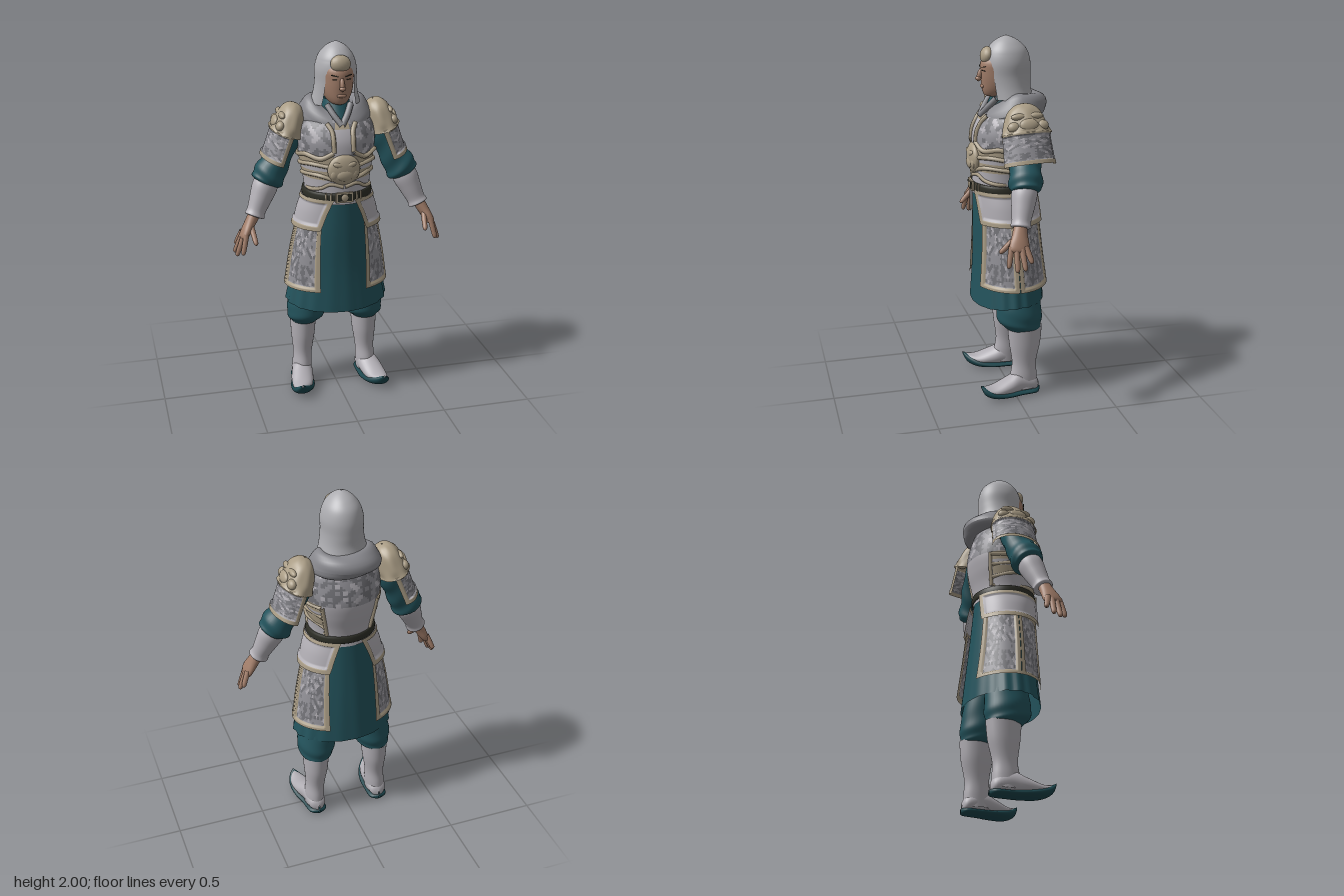
import * as THREE from 'three';

const paint = (name, color) => new THREE.MeshStandardMaterial({ name, color, side: THREE.DoubleSide });
const steel = paint('paleSteel', 0xb1aeb4), plate = paint('greyScale', 0x929197), plateDark = paint('darkScale', 0x737378);
const cloth = paint('tealCloth', 0x23535c), sole = paint('darkTeal', 0x1b454c), tan = paint('tanTrim', 0xaa9d86);
const skin = paint('skin', 0xa17d69), leather = paint('darkLeather', 0x2d2e26), hood = paint('hoodGrey', 0x87878c);
const iron = paint('helmetGrey', 0xacacb0);
const { sin, cos, PI, min, max, sqrt, floor } = Math;
const V = (x, y, z) => new THREE.Vector3(x, y, z);
const clamp = THREE.MathUtils.clamp;

// Smooth interpolation along a short list of cross-sections
function rowAt(rows, t) {
  const f = t * (rows.length - 1), i = min(floor(f), rows.length - 2), k = f - i;
  const p = n => rows[clamp(i + n, 0, rows.length - 1)];
  return rows[0].map((_, c) => {
    const a = p(-1)[c], b = p(0)[c], d = p(1)[c], e = p(2)[c];
    return b + 0.5 * k * (d - a + k * (2 * a - 5 * b + 4 * d - e + k * (3 * (b - d) + e - a)));
  });
}

// Grid surface from f(u, v); pick(u, v, i, j) selects a material for each cell
function surface(name, f, nu, nv, mats, closed, pick) {
  mats = [mats].flat();
  const pos = [], cols = closed ? nu : nu + 1, cells = mats.map(() => []);
  for (let j = 0; j <= nv; j++) for (let i = 0; i < cols; i++) pos.push(...f(i / nu, j / nv));
  for (let j = 0; j < nv; j++) for (let i = 0; i < nu; i++) {
    const a = j * cols + i, b = j * cols + (i + 1) % cols, c = a + cols, d = b + cols;
    cells[pick ? pick((i + 0.5) / nu, (j + 0.5) / nv, i, j) : 0].push(a, c, b, b, c, d);
  }
  const g = new THREE.BufferGeometry();
  g.setAttribute('position', new THREE.Float32BufferAttribute(pos, 3));
  g.setIndex(cells.flat());
  let start = 0;
  cells.forEach((c, m) => { g.addGroup(start, c.length, m); start += c.length; });
  g.computeVertexNormals();
  const mesh = new THREE.Mesh(g, mats.length > 1 ? mats : mats[0]);
  mesh.name = name;
  return mesh;
}

// Loft of elliptical rows [x, y, z, rx, rz], listed downwards; angle 0 faces front
function loft(name, rows, mats, { nu = 32, nv = 24, arc, bump, pick, drop = 0 } = {}) {
  return surface(name, (u, v) => {
    const [x, y, z, rx, rz] = rowAt(rows, v), [a0, a1] = arc ? arc(v, y) : [0, 2 * PI];
    const a = a0 + (a1 - a0) * u, o = bump ? bump(a, v, u) : 0;
    return [x + (rx + o) * sin(a), y - drop * v * max(cos(a), 0), z + (rz + o) * cos(a)];
  }, nu, nv, mats, !arc, pick);
}

const noise = (i, j) => { const s = sin(i * 127.1 + j * 311.7) * 43758.5; return s - floor(s); };
// Diagonal mottling of the scale armour
const mottle = (i, j) => { const n = noise(floor((i + j) / 3), floor((i - j) / 3)); return n < 0.45 ? 0 : n < 0.86 ? 1 : 2; };
const SCALES = [plate, plateDark, steel, tan];

// Armour panel with a raised border
function panel(name, rows, arc, bu, bv, plain, nu = 40, nv = 44) {
  const edge = (u, v) => min(u, 1 - u) < bu || min(v, 1 - v) < bv;
  return loft(name, rows, plain ? [steel, tan] : SCALES, {
    nu, nv, arc, bump: (a, v, u) => edge(u, v) ? 0.008 : 0,
    pick: (u, v, i, j) => edge(u, v) ? (plain ? 1 : 3) : plain ? 0 : mottle(i, j)
  });
}

// Turn a part so its downward axis runs from a to b
function between(obj, a, b) {
  obj.position.copy(a);
  obj.quaternion.setFromUnitVectors(V(0, -1, 0), b.clone().sub(a).normalize());
  return obj;
}
function part(name, geo, mat, p, s = [1, 1, 1], r = [0, 0, 0]) {
  const m = new THREE.Mesh(geo, mat);
  m.name = name; m.position.set(...p); m.scale.set(...s); m.rotation.set(...r);
  return m;
}
const ball = (name, mat, p, s, r) => part(name, new THREE.SphereGeometry(1, 20, 14), mat, p, s, r);
const box = (name, mat, p, s, r) => part(name, new THREE.BoxGeometry(1, 1, 1), mat, p, s, r);
const tube = (name, pts, r, mat) => part(name, new THREE.TubeGeometry(new THREE.CatmullRomCurve3(pts), 40, r, 6), mat, [0, 0, 0]);

const TORSO = [[0, 1.64, -.03, .1, .1], [0, 1.58, -.01, .19, .145], [0, 1.5, 0, .213, .178], [0, 1.42, 0, .21, .188],
  [0, 1.34, .005, .198, .182], [0, 1.26, .015, .184, .172], [0, 1.2, .02, .18, .168], [0, 1.15, .02, .195, .172]];
function onTorso(a, y, off = 0.003) {
  let v = 0;
  while (v < 1 && rowAt(TORSO, v)[1] > y) v += 0.005;
  const [, , z, rx, rz] = rowAt(TORSO, min(v, 1));
  return V((rx + off) * sin(a), y, z + (rz + off) * cos(a));
}

function head() {
  const g = new THREE.Group(); g.name = 'head';
  g.add(loft('face', [[0, 1.93, 0, .05, .07], [0, 1.87, .01, .088, .124], [0, 1.81, .017, .089, .124], [0, 1.75, .02, .082, .117],
    [0, 1.705, .028, .064, .102], [0, 1.68, .035, .04, .075], [0, 1.674, .035, .002, .002]], skin));
  const open = y => 0.76 * sqrt(clamp((1.91 - y) / .08, 0, 1));
  g.add(loft('helmet', [[0, 2, 0, .004, .004], [0, 1.985, 0, .038, .042], [0, 1.96, -.002, .068, .078], [0, 1.92, -.004, .096, .11],
    [0, 1.86, -.005, .112, .126], [0, 1.79, -.006, .112, .126], [0, 1.73, -.01, .12, .122], [0, 1.67, -.02, .136, .125]], iron,
    { nu: 48, nv: 40, arc: (v, y) => [open(y), 2 * PI - open(y)] }));
  g.add(ball('foreheadBadge', tan, [0, 1.898, .107], [.055, .046, .034], [-.25, 0, 0]));
  g.add(ball('nose', skin, [0, 1.795, .144], [.013, .038, .016], [-.3, 0, 0]));
  g.add(ball('noseTip', skin, [0, 1.775, .153], [.017, .012, .017]));
  g.add(ball('lips', skin, [0, 1.733, .133], [.026, .01, .009]));
  for (const s of [-1, 1]) {
    g.add(box('eyebrow', leather, [s * .038, 1.84, .133], [.04, .004, .006], [0, s * .4, s * .2]));
    g.add(box('eye', leather, [s * .038, 1.82, .133], [.024, .003, .006], [0, s * .4, 0]));
  }
  // Draped hood round the neck, open at the throat
  g.add(surface('cowl', (u, v) => {
    const a = .3 + (2 * PI - .6) * u, b = 2 * PI * v, back = (1 - cos(a)) / 2;
    const r = .032 + .02 * min(1, 3 * back), w = r * (1 + .1 * sin(3 * b + 2 * a));
    const d = w * cos(b), front = max(cos(a), 0), y = 1.645 - .065 * front ** 1.5;
    return [(.143 + d) * sin(a), y + w * 1.05 * sin(b) - d * (.35 + .5 * front), -.04 + (.128 + .022 * front + d) * cos(a)];
  }, 56, 20, hood));
  g.add(loft('collar', [[0, 1.70, .0, .07, .075], [0, 1.64, .01, .078, .092], [0, 1.56, .01, .08, .13]], cloth));
  for (const s of [-1, 1]) g.add(tube('lapel', [V(s * .065, 1.675, .07), V(s * .036, 1.625, .11), V(0, 1.575, .145)], .017, hood));
  return g;
}

function body() {
  const g = new THREE.Group(); g.name = 'body';
  g.add(loft('cuirass', TORSO, SCALES, { nu: 96, nv: 48, pick: (u, v, i, j) => {
    const y = rowAt(TORSO, v)[1], a = min(u, 1 - u) * 2 * PI;
    if (y > 1.585) return 0;
    if (a < .2 && y > 1.43) return y > 1.56 ? 3 : 2;
    if (y > 1.41) return mottle(i, j);
    if (a > 2.3) return 2;
    return y > 1.37 || (y < 1.335 && y > 1.29) ? 3 : 2;
  } }));
  // Raised trims following the chest
  const trim = (name, pts, r) => g.add(tube(name, pts.map(p => onTorso(...p)), r, tan));
  for (const s of [-1, 1]) {
    trim('chestStrap', [[s * .42, 1.585], [s * .28, 1.55], [s * .25, 1.5], [s * .25, 1.44]], .013);
    trim('chestEdge', [[s * .25, 1.44], [s * .6, 1.405], [s * 1.1, 1.42], [s * 1.6, 1.4], [s * 2.3, 1.4]], .013);
    trim('ribBand', [[s * .4, 1.36], [s * .9, 1.37], [s * 1.5, 1.355], [s * 2.3, 1.34]], .012);
    trim('waistBand', [[s * .3, 1.29], [s * .7, 1.31], [s * 1.5, 1.3], [s * 2.35, 1.27]], .012);
    trim('lowerEdge', [[s * .02, 1.25], [s * .4, 1.265], [s * .7, 1.24], [s * 1.2, 1.225], [s * 2.4, 1.225]], .01);
    trim('backPlateEdge', [[s * 2.32, 1.41], [s * 2.35, 1.32], [s * 2.4, 1.22]], .011);
  }
  // Beast face on the belly
  g.add(ball('bellyMask', tan, [0, 1.345, .183], [.09, .084, .034]));
  g.add(ball('maskMuzzle', tan, [0, 1.32, .206], [.045, .032, .016]));
  for (const s of [-1, 1]) {
    g.add(ball('maskBrow', tan, [s * .032, 1.375, .202], [.032, .016, .014], [0, 0, s * .3]));
    g.add(ball('maskCheek', tan, [s * .052, 1.325, .197], [.024, .03, .014]));
  }
  // Belt and buckle
  g.add(loft('belt', [[0, 1.213, .02, .176, .162], [0, 1.212, .02, .19, .176], [0, 1.175, .02, .193, .178], [0, 1.173, .02, .18, .165]], leather, { nu: 48, nv: 9 }));
  g.add(box('buckle', tan, [0, 1.194, .199], [.095, .056, .012]));
  g.add(box('buckleInset', leather, [0, 1.194, .205], [.076, .038, .006]));
  g.add(ball('buckleBoss', tan, [0, 1.194, .207], [.02, .02, .007]));
  for (const s of [-1, 1]) for (const a of [.38, .52]) g.add(box('beltStud', tan, [s * .193 * sin(a), 1.194, .021 + .179 * cos(a)], [.008, .044, .008], [0, s * a, 0]));
  // Pleated robe, longer at the front
  g.add(loft('robeSkirt', [[0, 1.18, .02, .176, .164], [0, 1.0, .014, .205, .172], [0, .78, .004, .24, .183], [0, .55, 0, .286, .2]], cloth,
    { nu: 120, nv: 24, drop: .028, bump: (a, v) => .005 * v * sin(18 * a) * max(.2, sin(a) ** 2) }));
  return g;
}

// Hip flap and two long skirt panels of one side
function tassets() {
  const g = new THREE.Group();
  const low = [[0, 1.04, .005, .216, .18], [0, .85, -.002, .256, .189], [0, .642, -.01, .287, .206]];
  g.add(panel('frontTasset', low, v => [.56 - .11 * v, 1.545], .125, .08));
  g.add(panel('backTasset', low, v => [1.555, 2.56 + .1 * v], .125, .08));
  g.add(panel('hipFlap', [[0, 1.178, .02, .19, .175], [0, 1.1, .012, .22, .184], [0, 1.0, .005, .243, .193]],
    v => [.28 + .27 * v, 2.85 - .25 * v], .055, .18, true, 56, 24));
  return g;
}

function arm() {
  const g = new THREE.Group();
  const shoulder = V(.235, 1.615, -.035), flapEnd = V(.33, 1.36, -.045);
  g.add(between(loft('shoulderCap', [[0, .06, 0, .004, .004], [0, .05, 0, .036, .046], [0, .015, 0, .063, .088], [0, -.05, 0, .08, .116], [0, -.09, 0, .088, .128], [0, -.105, 0, .094, .135]], tan,
    { nu: 48, nv: 24, bump: (a, v) => .005 * v * sin(7 * a) * sin(9 * v) }), shoulder, flapEnd));
  const mask = new THREE.Group(); mask.name = 'shoulderMask';
  mask.add(ball('muzzle', tan, [.077, -.065, 0], [.016, .032, .05]));
  for (const s of [-1, 1]) mask.add(ball('brow', tan, [.058, -.018, s * .045], [.018, .018, .042]), ball('cheek', tan, [.055, -.07, s * .076], [.024, .028, .034]));
  g.add(between(mask, shoulder, flapEnd));
  g.add(between(panel('shoulderFlap', [[0, -.09, 0, .083, .12], [0, -.18, 0, .08, .125], [0, -.27, 0, .078, .131]],
    () => [-.3, PI + .3], .08, .17), shoulder, flapEnd));
  // Puffed sleeve, bracer
  g.add(between(loft('sleeve', [[0, .06, 0, .06, .06], [0, -.04, 0, .072, .08], [0, -.14, 0, .076, .083], [0, -.22, 0, .088, .088], [0, -.265, 0, .084, .084], [0, -.285, 0, .05, .05]], cloth,
    { nv: 36, bump: (a, v) => .004 * sin(22 * v + 2 * sin(a)) }), V(.26, 1.485, -.035), V(.395, 1.24, -.002)));
  g.add(between(loft('bracer', [[0, .03, 0, .06, .06], [0, -.03, 0, .07, .068], [0, -.1, 0, .061, .06], [0, -.17, 0, .051, .05], [0, -.2, 0, .055, .054], [0, -.203, 0, .03, .03]], steel),
    V(.385, 1.255, 0), V(.467, 1.07, .045)));
  // Hand with spread fingers
  g.add(between(loft('palm', [[0, .02, 0, .033, .033], [0, -.04, 0, .03, .042], [0, -.09, 0, .027, .052], [0, -.125, 0, .02, .048], [0, -.14, 0, .004, .01]], skin), V(.472, 1.075, .048), V(.535, .965, .07)));
  const fingers = [[[.522, .985, .108], [.545, .885, .128]], [[.536, .97, .083], [.573, .868, .087]], [[.54, .972, .055], [.58, .876, .046]],
    [[.536, .985, .032], [.568, .91, .008]], [[.488, 1.03, .075], [.475, .947, .158]]];
  for (const [a, b] of fingers) {
    const p = V(...a), q = V(...b), l = p.distanceTo(q);
    g.add(between(loft('finger', [[0, .01, 0, .015, .016], [0, -l * .5, 0, .0145, .015], [0, -l * .9, 0, .012, .012], [0, -l, 0, .002, .002]], skin, { nu: 12, nv: 12 }), p, q));
  }
  return g;
}

function leg() {
  const g = new THREE.Group();
  g.add(loft('trouserLeg', [[.13, .76, -.02, .09, .1], [.15, .6, -.03, .1, .115], [.165, .5, -.03, .107, .128], [.17, .44, -.035, .104, .122], [.176, .402, -.05, .085, .1], [.18, .385, -.055, .06, .07]], cloth,
    { nu: 40, nv: 36, bump: (a, v) => .004 * sin(20 * v + 3 * cos(a)) * v }));
  g.add(loft('bootShaft', [[.18, .405, -.06, .074, .098], [.182, .3, -.06, .067, .088], [.186, .19, -.056, .054, .069], [.19, .11, -.052, .055, .076], [.193, .04, -.05, .054, .08]], steel));
  // Foot and upturned sole, rows [x, z, half width, bottom, top]
  const shoe = (name, rows, mat) => g.add(surface(name, (u, v) => {
    const [x, z, w, b, t] = rowAt(rows, v), a = u * 2 * PI;
    return [x + w * cos(a), (b + t) / 2 + (t - b) / 2 * sin(a), z];
  }, 28, 30, mat, true));
  shoe('bootFoot', [[.19, -.14, .004, .03, .06], [.191, -.115, .046, .018, .1], [.196, -.03, .058, .015, .14], [.208, .04, .064, .015, .112], [.222, .12, .056, .02, .08], [.234, .175, .03, .045, .08], [.24, .203, .004, .08, .09]], steel);
  shoe('bootSole', [[.19, -.146, .004, .01, .03], [.191, -.12, .05, 0, .036], [.196, -.03, .061, 0, .036], [.208, .05, .07, 0, .042], [.222, .125, .063, .004, .062], [.235, .18, .037, .03, .08], [.241, .207, .004, .082, .092]], sole);
  return g;
}

export function createModel() {
  const model = new THREE.Group();
  model.name = 'armouredSoldier';
  model.add(head(), body());
  // Paired parts, mirrored for the right side
  for (const [name, make] of [['Arm', arm], ['Leg', leg], ['Tassets', tassets]]) {
    const left = make(), right = left.clone();
    left.name = 'left' + name; right.name = 'right' + name;
    right.scale.x = -1;
    model.add(left, right);
  }
  return model;
}
